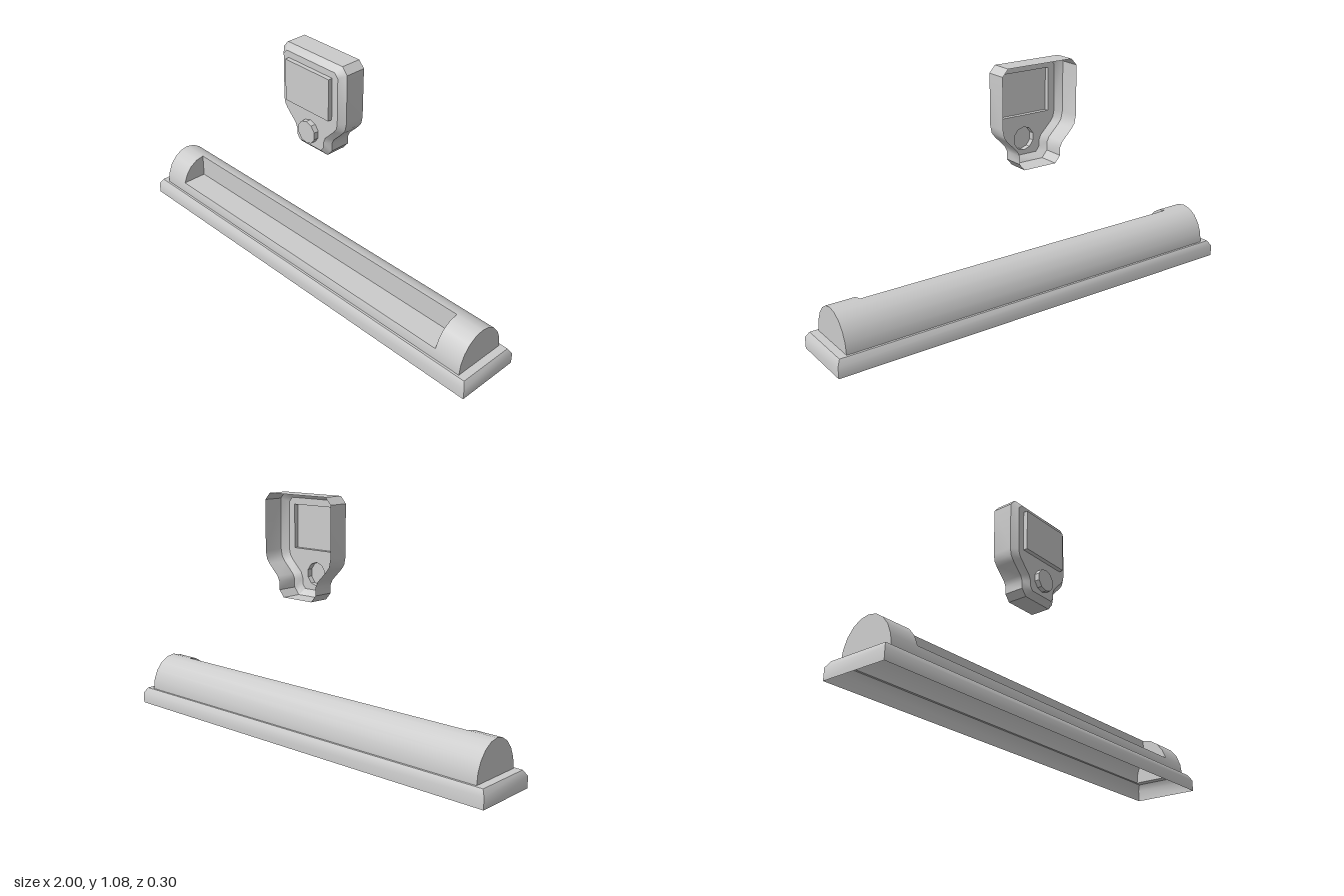
import * as THREE from 'three';
import { toCreasedNormals } from 'three/addons/utils/BufferGeometryUtils.js';

const material = new THREE.MeshStandardMaterial({ color: 0xcccccc, side: THREE.DoubleSide });

function add(group, name, geometry, x = 0, y = 0, z = 0) {
  const mesh = new THREE.Mesh(geometry, material);
  mesh.name = name;
  mesh.position.set(x, y, z);
  group.add(mesh);
  return mesh;
}

// Skin between closed outlines; each ring is { pts: [[x, y], ...], z }.
function loft(rings) {
  const pos = [];
  for (let r = 0; r + 1 < rings.length; r++) {
    const lo = rings[r], hi = rings[r + 1], n = lo.pts.length;
    for (let i = 0; i < n; i++) {
      const j = (i + 1) % n;
      const a = [...lo.pts[i], lo.z], b = [...lo.pts[j], lo.z];
      const c = [...hi.pts[j], hi.z], d = [...hi.pts[i], hi.z];
      pos.push(...a, ...b, ...c, ...a, ...c, ...d);
    }
  }
  const g = new THREE.BufferGeometry();
  g.setAttribute('position', new THREE.Float32BufferAttribute(pos, 3));
  return toCreasedNormals(g, 0.6);
}

const toShape = (pts) => new THREE.Shape(pts.map(([x, y]) => new THREE.Vector2(x, y)));
const rect = (w, h, cy = 0) => [[-w, cy - h], [w, cy - h], [w, cy + h], [-w, cy + h]];
// Full outline from its right half, listed bottom to top.
const mirror = (half) => [...half, ...half.map(([x, y]) => [-x, y]).reverse()];

// Half-round cover dimensions
const RZ = 0.125, RY = 0.154, Y0 = 0.075, SEG = 10, STEP = Math.PI / SEG;
const LENGTH = 0.95, NOTCH = 0.82;
const arc = (i) => [RZ * Math.cos(i * STEP), RY * Math.sin(i * STEP)];

// Curved strip covering arc steps from..to (0 = front edge, SEG = back edge)
function arcStrip(length, from, to) {
  const g = new THREE.CylinderGeometry(1, 1, length, to - from, 1, true, from * STEP, (to - from) * STEP);
  return g.rotateZ(Math.PI / 2).scale(1, RY, RZ);
}

function createBase() {
  const base = new THREE.Group();
  base.name = 'base';

  // Open skirt with chamfered rim and a narrow ledge around the cover
  const skirt = loft([
    { pts: rect(1, 0.15), z: 0 },
    { pts: rect(1, 0.15), z: 0.05 },
    { pts: rect(0.985, 0.135), z: Y0 },
    { pts: rect(LENGTH, RZ), z: Y0 },
  ]);
  add(base, 'skirt', skirt.rotateX(-Math.PI / 2));

  // Half-round cover, cut away along the front
  add(base, 'coverBack', arcStrip(2 * LENGTH, SEG / 2, SEG), 0, Y0);
  add(base, 'coverFrontLip', arcStrip(2 * NOTCH, 0, 1), 0, Y0);
  const endShape = toShape(Array.from({ length: SEG + 1 }, (_, i) => arc(i)));
  const wallShape = toShape([[0, arc(1)[1]], ...[1, 2, 3, 4, 5].map(arc)]);
  for (const s of [-1, 1]) {
    add(base, 'coverFrontEnd', arcStrip(LENGTH - NOTCH, 0, SEG / 2), s * (LENGTH + NOTCH) / 2, Y0);
    add(base, 'coverEndCap', new THREE.ShapeGeometry(endShape).rotateY(s * Math.PI / 2), s * LENGTH, Y0);
    add(base, 'notchSide', new THREE.ShapeGeometry(wallShape).rotateY(-Math.PI / 2), s * NOTCH, Y0);
  }

  // Flat floor and upright back of the cut-away
  const [floorZ, floorY] = arc(1);
  add(base, 'notchFloor', new THREE.PlaneGeometry(2 * NOTCH, floorZ).rotateX(-Math.PI / 2), 0, Y0 + floorY, floorZ / 2);
  add(base, 'notchBack', new THREE.PlaneGeometry(2 * NOTCH, RY - floorY), 0, Y0 + (RY + floorY) / 2, 0);
  return base;
}

function createHead() {
  const head = new THREE.Group();
  head.name = 'head';
  const outer = mirror([[0.08, 0.64], [0.105, 0.67], [0.105, 0.705], [0.116, 0.728], [0.165, 0.777],
    [0.18, 0.797], [0.187, 0.83], [0.187, 1.05], [0.16, 1.08]]);
  const inner = mirror([[0.065, 0.665], [0.08, 0.685], [0.08, 0.71], [0.09, 0.735], [0.142, 0.787],
    [0.155, 0.805], [0.16, 0.83], [0.16, 1.035], [0.142, 1.055]]);
  const screen = rect(0.128, 0.094, 0.932);
  const knob = Array.from({ length: 10 }, (_, i) => {
    const a = (i + 0.5) * Math.PI / 5;
    return [0.051 * Math.cos(a), 0.735 + 0.051 * Math.sin(a)];
  });

  // Shell, open at the back
  add(head, 'shell', loft([
    { pts: outer, z: -0.088 }, { pts: outer, z: 0.005 }, { pts: inner, z: 0.03 },
  ]));
  const face = toShape(inner);
  face.holes.push(toShape(screen), toShape(knob));
  add(head, 'face', new THREE.ShapeGeometry(face), 0, 0, 0.03);

  // Raised, hollow screen and knob
  for (const [name, pts, z] of [['screen', screen, 0.05], ['knob', knob, 0.053]]) {
    add(head, name + 'Side', loft([{ pts, z: 0.03 }, { pts, z }]));
    add(head, name + 'Front', new THREE.ShapeGeometry(toShape(pts)), 0, 0, z);
  }
  return head;
}

export function createModel() {
  const model = new THREE.Group();
  model.name = 'model';
  model.add(createBase(), createHead());
  return model;
}
